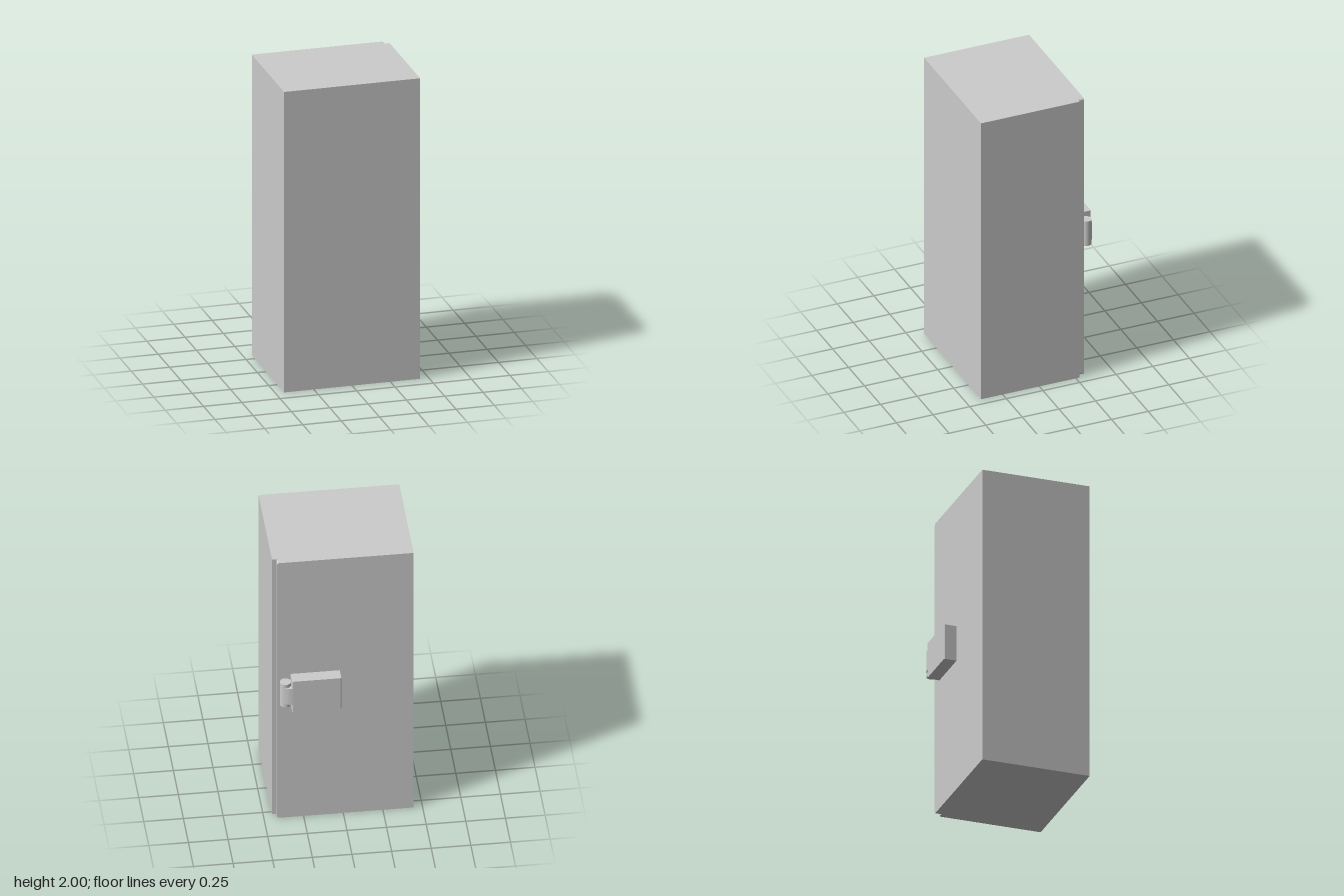
import * as THREE from 'three';

const grey = new THREE.MeshStandardMaterial({ color: 0xcccccc });

function add(group, name, geometry, x = 0, y = 0, z = 0) {
  const mesh = new THREE.Mesh(geometry, grey);
  mesh.name = name;
  mesh.position.set(x, y, z);
  group.add(mesh);
  return mesh;
}

// Extrude a plan outline, drawn as (x, -z), upwards by height
function extrudeUp(shape, height) {
  return new THREE.ExtrudeGeometry(shape, { depth: height, bevelEnabled: false, curveSegments: 6 })
    .rotateX(-Math.PI / 2);
}

export function createModel() {
  const model = new THREE.Group();

  // Cabinet body
  add(model, 'cabinetBody', new THREE.BoxGeometry(0.888, 2, 0.674), 0, 1, 0.062);

  // Door panel on the back, with its two free corners rounded
  const x0 = -0.443, x1 = 0.417, r = 0.013;
  const panel = new THREE.Shape();
  panel.moveTo(x0, 0);
  panel.lineTo(x1 - r, 0);
  panel.absarc(x1 - r, r, r, -Math.PI / 2, 0);
  panel.lineTo(x1, 2 - r);
  panel.absarc(x1 - r, 2 - r, r, 0, Math.PI / 2);
  panel.lineTo(x0, 2);
  panel.closePath();
  add(model, 'door', new THREE.ExtrudeGeometry(panel, { depth: 0.042, bevelEnabled: false, curveSegments: 8 }), 0, 0, -0.317);

  // Latch: housing, barrel and the arm joining them
  const latch = new THREE.Group();
  latch.name = 'latch';
  model.add(latch);

  const a = 0.022, b = 0.333, near = 0.317, far = 0.4, c = 0.007;
  const plan = new THREE.Shape();
  plan.moveTo(a, near);
  plan.lineTo(b, near);
  plan.lineTo(b, far - c);
  plan.absarc(b - c, far - c, c, 0, Math.PI / 2);
  plan.lineTo(a + c, far);
  plan.absarc(a + c, far - c, c, Math.PI / 2, Math.PI);
  plan.closePath();
  add(latch, 'latchHousing', extrudeUp(plan, 0.238), 0, 0.885, 0);

  add(latch, 'latchBarrel', new THREE.CylinderGeometry(0.035, 0.035, 0.176, 32), 0.369, 1.004, -0.352);

  const arm = new THREE.Shape();
  arm.moveTo(0.32, 0.365);
  arm.lineTo(0.34, 0.365);
  arm.lineTo(0.369, 0.352);
  arm.lineTo(0.388, 0.381);
  arm.quadraticCurveTo(0.362, 0.398, 0.325, 0.4);
  arm.lineTo(0.32, 0.4);
  arm.closePath();
  add(latch, 'latchArm', extrudeUp(arm, 0.125), 0, 0.942, 0);

  return model;
}
